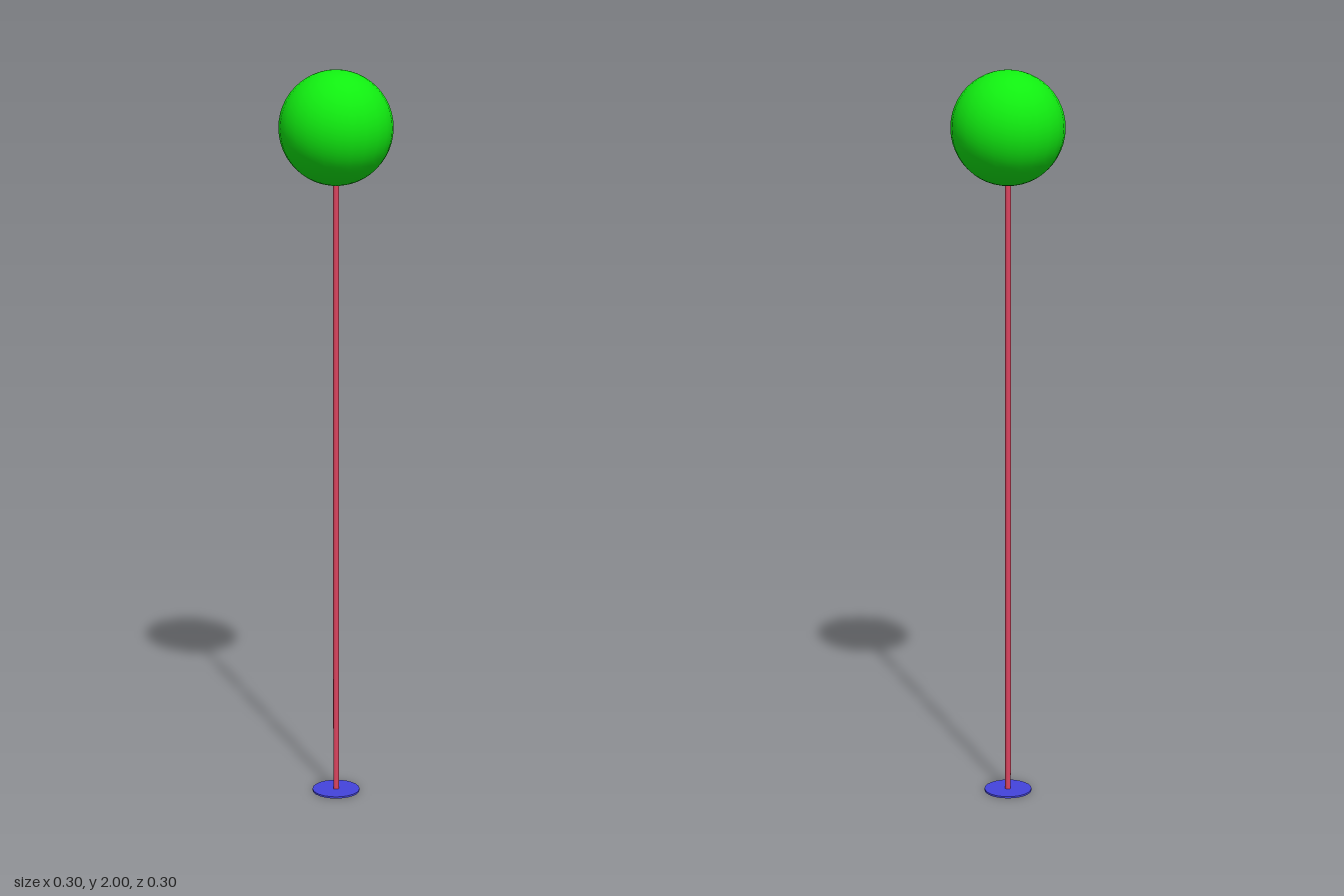
import * as THREE from 'three';

export function createModel() {
  const model = new THREE.Group();
  const add = (name, geometry, color, y) => {
    const mesh = new THREE.Mesh(geometry, new THREE.MeshStandardMaterial({ color }));
    mesh.name = name;
    mesh.position.y = y;
    model.add(mesh);
  };

  const ballRadius = 0.152;
  const ballY = 2 - ballRadius;
  const baseHeight = 0.005;

  // Thin round foot
  add('base', new THREE.CylinderGeometry(0.066, 0.066, baseHeight, 24), 0x4444dd, baseHeight / 2);

  // Slender pole from the foot up into the ball
  const poleHeight = ballY - ballRadius + 0.01 - baseHeight;
  add('pole', new THREE.CylinderGeometry(0.008, 0.008, poleHeight, 12), 0xdd4460, baseHeight + poleHeight / 2);

  // Smooth ball on top
  add('ball', new THREE.SphereGeometry(ballRadius, 24, 24), 0x11ee11, ballY);

  return model;
}
